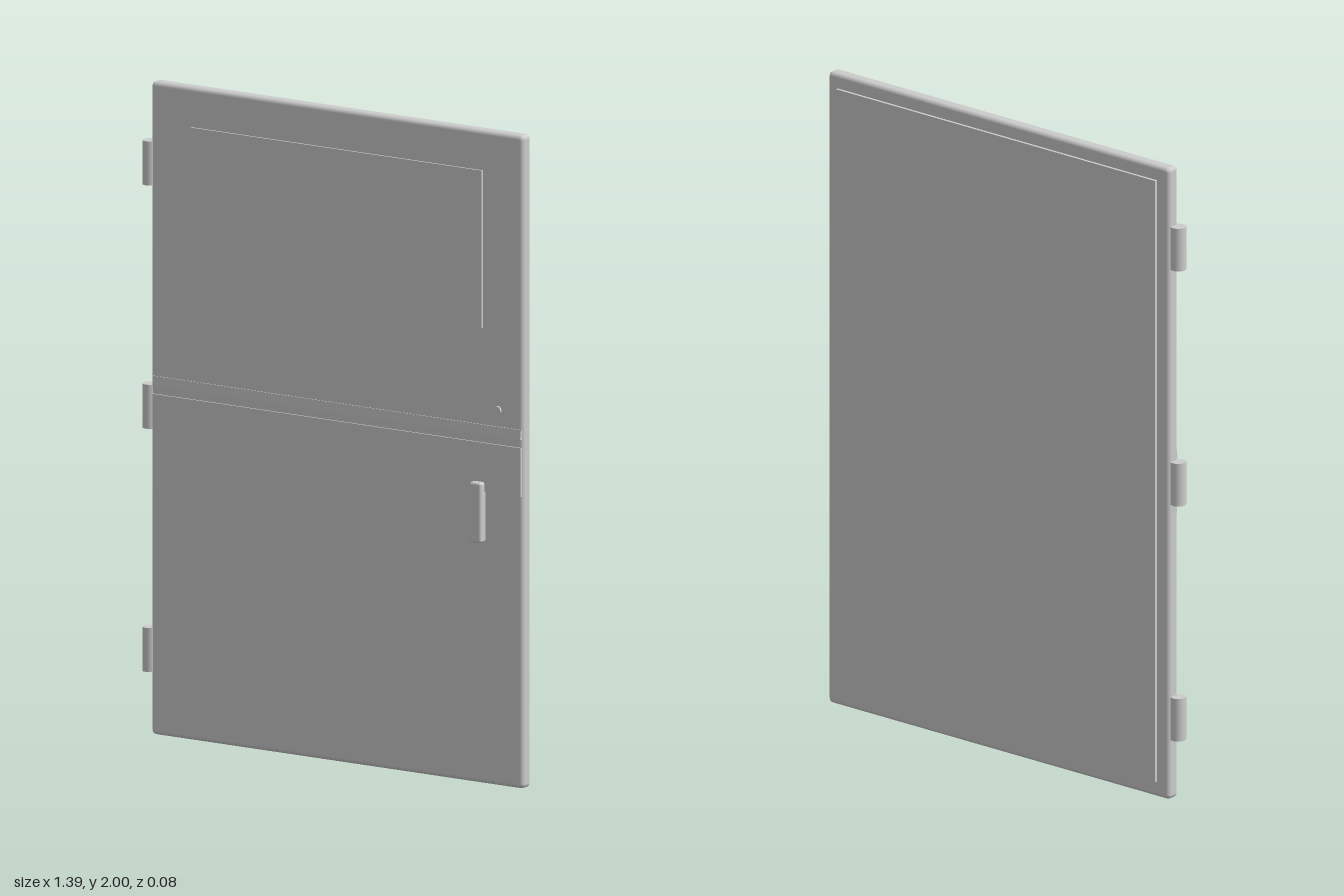
import * as THREE from 'three';
import { RoundedBoxGeometry } from 'three/addons/geometries/RoundedBoxGeometry.js';

export function createModel() {
  const door = new THREE.Group();
  door.name = 'door';
  const grey = new THREE.MeshStandardMaterial({ color: 0xcccccc });
  grey.name = 'light grey';

  const add = (name, geometry, x = 0, y = 0, z = 0) => {
    const mesh = new THREE.Mesh(geometry, grey);
    mesh.name = name;
    mesh.position.set(x, y, z);
    door.add(mesh);
    return mesh;
  };
  // Places a box by its limits; a radius rounds its edges
  const block = (name, [x0, x1], [y0, y1], [z0, z1], radius = 0) => {
    const size = [x1 - x0, y1 - y0, z1 - z0];
    const geometry = radius
      ? new RoundedBoxGeometry(...size, 4, radius)
      : new THREE.BoxGeometry(...size);
    return add(name, geometry, (x0 + x1) / 2, (y0 + y1) / 2, (z0 + z1) / 2);
  };

  // Main slab with softly rounded edges
  block('slab', [-0.66, 0.69], [0, 2], [-0.033, 0.013], 0.014);

  // Raised plates on both faces
  block('backPanel', [-0.615, 0.65], [0.05, 1.955], [-0.042, -0.03]);
  block('upperPanel', [-0.512, 0.545], [1.395, 1.878], [0.01, 0.019]);
  block('middleBand', [-0.65, 0.685], [0.895, 1.045], [0.01, 0.018]);

  // Narrow trim whose face slopes outward toward its lower edge
  const section = new THREE.Shape([
    new THREE.Vector2(-0.01, 1.07),
    new THREE.Vector2(-0.01, 1.1),
    new THREE.Vector2(-0.016, 1.1),
    new THREE.Vector2(-0.02, 1.07),
  ]);
  const trim = new THREE.ExtrudeGeometry(section, { depth: 1.335, bevelEnabled: false });
  trim.rotateY(Math.PI / 2);
  add('trimStrip', trim, -0.65);

  // Pull handle and lock
  block('handle', [0.512, 0.555], [0.74, 0.925], [0.008, 0.04], 0.008);
  const lock = new THREE.CylinderGeometry(0.013, 0.013, 0.012, 24);
  lock.rotateX(Math.PI / 2);
  add('lock', lock, 0.6, 1.15, 0.014);

  // Hinge barrels along the right edge
  for (const y of [0.258, 1.003, 1.748]) {
    add('hinge', new THREE.CylinderGeometry(0.024, 0.024, 0.135, 32), -0.674, y, -0.005);
  }
  return door;
}
